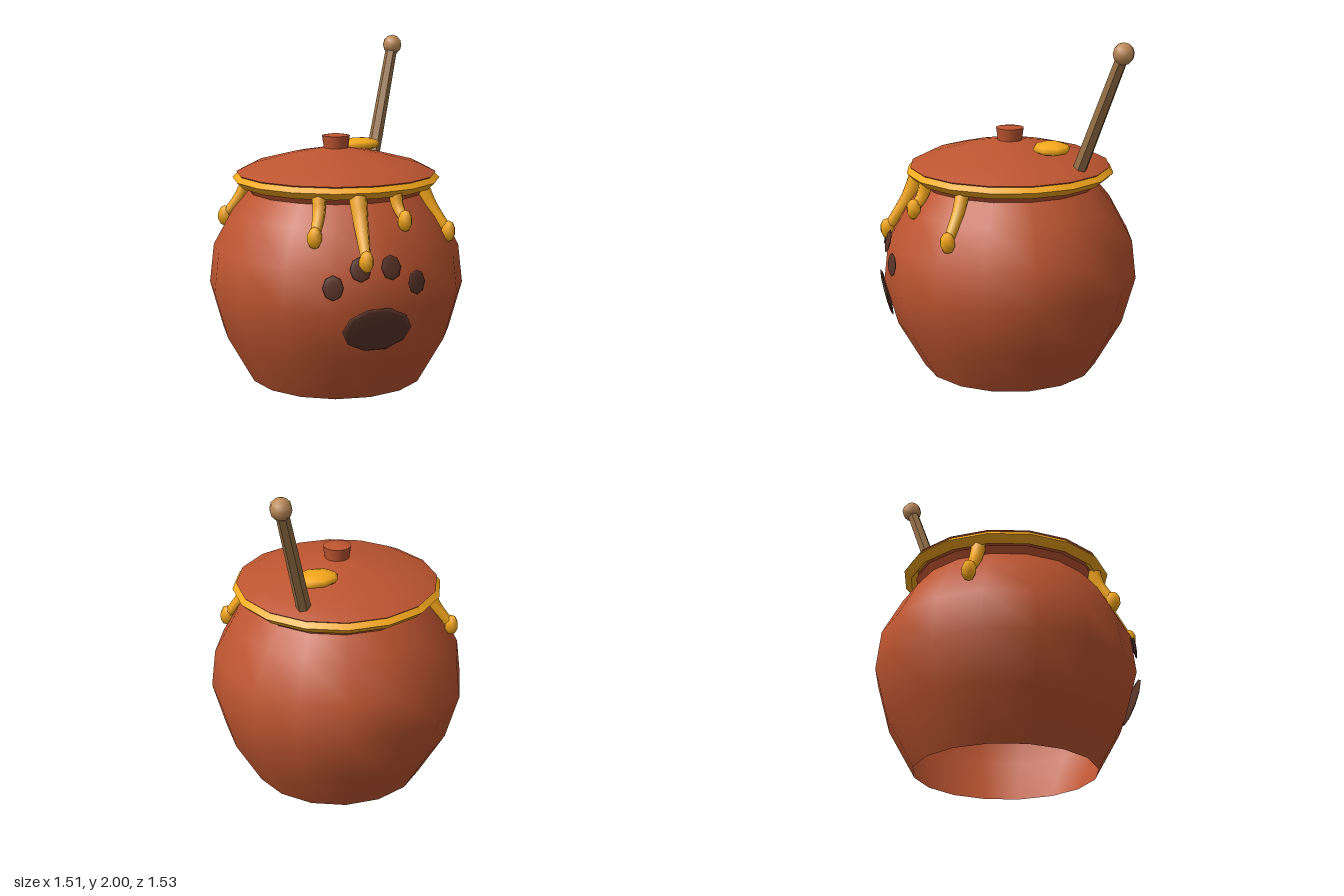
import * as THREE from 'three';

const V3 = (x, y, z) => new THREE.Vector3(x, y, z);
const mat = (color, flat = false) => new THREE.MeshStandardMaterial({ color, flatShading: flat });

const clay = mat(0xbd5530);
const clayFlat = mat(0xbd5530, true);
const clayOpen = mat(0xbd5530);
clayOpen.side = THREE.DoubleSide;
const honey = mat(0xf5a81c);
const wood = mat(0x967046, true);
const woodTip = mat(0xbd8a58);
const dark = mat(0x5a3429);

function add(parent, name, geometry, material) {
  const mesh = new THREE.Mesh(geometry, material);
  mesh.name = name;
  parent.add(mesh);
  return mesh;
}

const lathe = (profile, sides = 16) =>
  new THREE.LatheGeometry(profile.map(([r, y]) => new THREE.Vector2(r, y)), sides);

// Tube whose radius shrinks from r0 to r1 along the curve
function taperedTube(curve, steps, sides, r0, r1) {
  const geo = new THREE.TubeGeometry(curve, steps, 1, sides);
  const pos = geo.attributes.position;
  const v = V3(0, 0, 0);
  for (let i = 0; i <= steps; i++) {
    const t = i / steps;
    const centre = curve.getPointAt(t);
    const r = THREE.MathUtils.lerp(r0, r1, t);
    for (let j = 0; j <= sides; j++) {
      const k = i * (sides + 1) + j;
      v.fromBufferAttribute(pos, k).sub(centre).multiplyScalar(r).add(centre);
      pos.setXYZ(k, v.x, v.y, v.z);
    }
  }
  return geo;
}

export function createModel() {
  const model = new THREE.Group();
  model.name = 'honeyPot';

  // Everything turned on the pot's axis, which sits slightly behind z = 0
  const pot = new THREE.Group();
  pot.name = 'pot';
  pot.position.z = -0.008;
  model.add(pot);

  // Round hollow belly, open underneath, with a flared mouth
  add(pot, 'body', lathe([
    [0.522, 0], [0.68, 0.28], [0.757, 0.56], [0.73, 0.79], [0.615, 1.0], [0.515, 1.12],
  ]), clayOpen);
  add(pot, 'mouth', lathe([[0.51, 1.115], [0.54, 1.16]]), clayOpen);

  // Honey ring under the lid: a diamond section with sharp edges
  const ring = new THREE.Group();
  ring.name = 'honeyRing';
  pot.add(ring);
  const section = [[0.57, 1.155], [0.612, 1.195], [0.57, 1.235], [0.53, 1.195], [0.57, 1.155]];
  for (let i = 0; i < 4; i++) add(ring, 'ringFace', lathe(section.slice(i, i + 2)), honey);

  // Domed lid and its knob
  add(pot, 'lidEdge', lathe([[0, 1.215], [0.575, 1.215], [0.59, 1.23]]), clayFlat);
  add(pot, 'lid', lathe([
    [0.59, 1.23], [0.49, 1.28], [0.275, 1.335], [0.08, 1.37], [0, 1.378],
  ]), clay);
  add(pot, 'knob', lathe([[0.07, 1.36], [0.082, 1.443]]), clay);
  add(pot, 'knobTop', lathe([[0.082, 1.443], [0, 1.457]]), clay);

  // Honey puddle on the lid
  const puddle = add(model, 'honeyPuddle', new THREE.SphereGeometry(1, 8, 6), honey);
  puddle.scale.set(0.133, 0.038, 0.11);
  puddle.position.set(0.235, 1.358, -0.2);

  // Dipper: six-sided handle with a round tip
  const foot = V3(0.375, 1.25, -0.325);
  const tip = V3(0.59, 1.938, -0.506);
  const axis = tip.clone().sub(foot);
  const handle = add(model, 'dipperHandle',
    new THREE.CylinderGeometry(0.036, 0.042, axis.length(), 6), wood);
  handle.position.copy(foot).addScaledVector(axis, 0.5);
  handle.quaternion.setFromUnitVectors(V3(0, 1, 0), axis.clone().normalize());
  add(model, 'dipperTip', new THREE.SphereGeometry(0.062, 8, 6), woodTip).position.copy(tip);

  // Honey drips hugging the belly: start, bend, end, width at the top
  const drips = [
    [V3(-0.287, 1.17, 0.45), V3(-0.3, 1.08, 0.478), V3(-0.352, 0.96, 0.545), 0.043],
    [V3(-0.088, 1.17, 0.525), V3(-0.095, 1.04, 0.58), V3(-0.117, 0.84, 0.712), 0.055],
    [V3(0.145, 1.17, 0.515), V3(0.15, 1.1, 0.535), V3(0.17, 1.025, 0.59), 0.043],
    [V3(0.395, 1.17, 0.345), V3(0.432, 1.07, 0.375), V3(0.512, 0.915, 0.453), 0.04],
    [V3(-0.46, 1.17, -0.27), V3(-0.5, 1.07, -0.295), V3(-0.583, 0.945, -0.35), 0.042],
  ];
  for (const [start, bend, end, width] of drips) {
    const drip = new THREE.Group();
    drip.name = 'honeyDrip';
    model.add(drip);
    const curve = new THREE.CatmullRomCurve3([start, bend, end]);
    add(drip, 'dripStream', taperedTube(curve, 5, 6, width, 0.028), honey);
    const drop = add(drip, 'dripDrop', new THREE.SphereGeometry(1, 6, 5), honey);
    drop.scale.set(0.045, 0.062, 0.045);
    drop.position.copy(end);
  }

  // Paw print: thin pads facing out from the belly
  // x, y, distance from the axis, half width, half height, tilt, sides
  const pads = [
    [-0.06, 0.463, 0.741, 0.2, 0.135, 0.26, 10],
    [-0.3, 0.706, 0.753, 0.058, 0.07, -0.1, 8],
    [-0.15, 0.802, 0.733, 0.06, 0.07, -0.25, 8],
    [0.025, 0.802, 0.733, 0.06, 0.07, -0.25, 8],
    [0.18, 0.706, 0.753, 0.06, 0.07, -0.1, 8],
  ];
  for (const [x, y, r, w, h, tilt, sides] of pads) {
    const geo = new THREE.SphereGeometry(1, sides, 6).rotateX(Math.PI / 2);
    const pad = add(pot, 'pawPad', geo, dark);
    pad.scale.set(w, h, 0.01);
    pad.position.set(x, y, Math.sqrt(r * r - x * x));
    pad.rotation.set(tilt, Math.asin(x / r), 0, 'YXZ');
  }

  return model;
}
